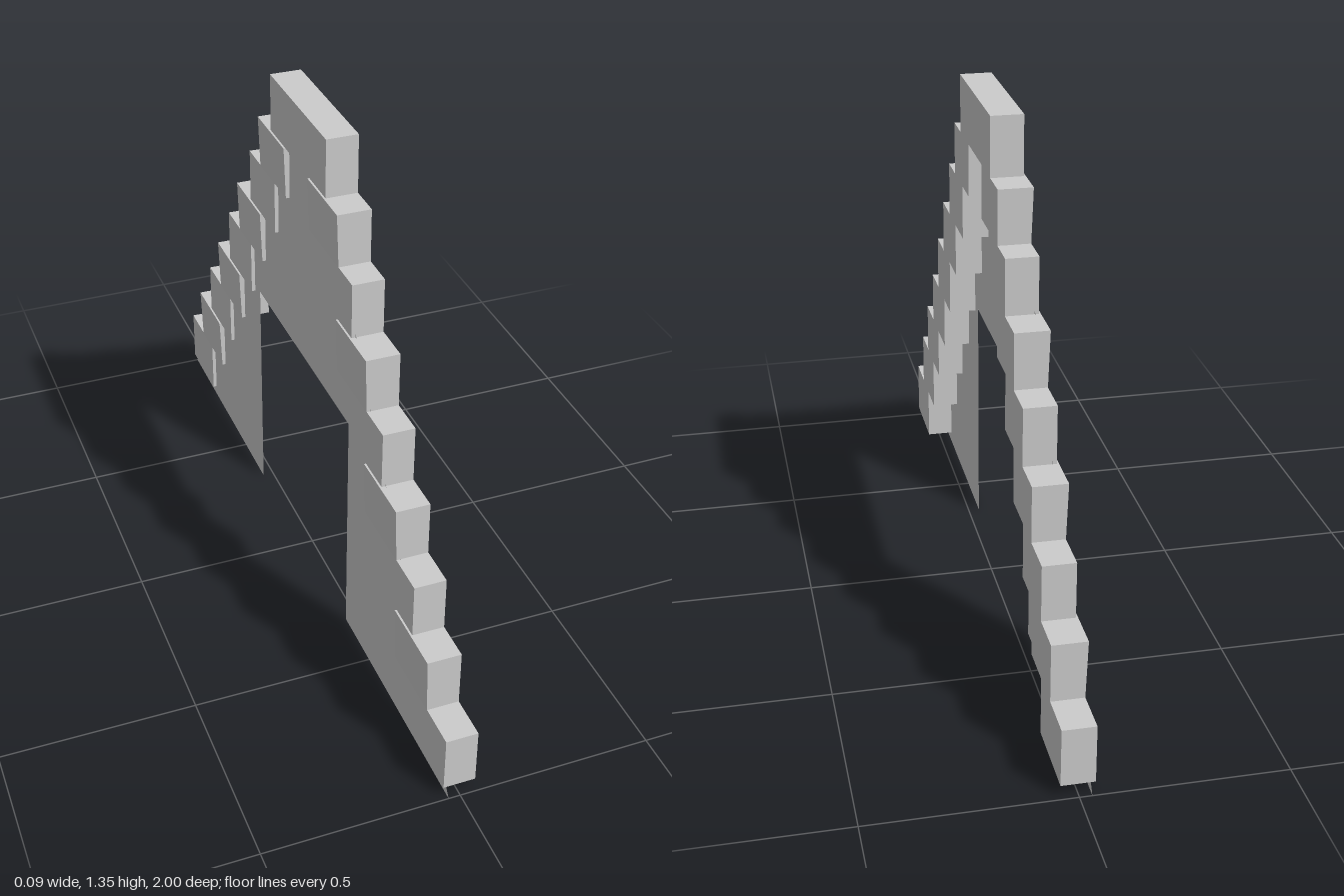
import * as THREE from 'three';

const stone = new THREE.MeshStandardMaterial({ color: 0xcccccc, flatShading: true });
const sheet = new THREE.MeshStandardMaterial({ color: 0xcccccc, flatShading: true, side: THREE.DoubleSide });

// Rows from the ground up: [bottom, top, inner z, outer z]
const rows = [
  [0.03, 0.18, 0.79, 0.99],
  [0.18, 0.33, 0.685, 0.88],
  [0.33, 0.475, 0.585, 0.78],
  [0.475, 0.62, 0.475, 0.673],
  [0.62, 0.77, 0.377, 0.573],
  [0.77, 0.915, 0.28, 0.473],
  [0.915, 1.06, 0.172, 0.37],
  [1.06, 1.2, 0.085, 0.282],
];

// Roughly cut block: its -x face leans slightly at the top
function block(name, y0, y1, z0, z1, lean) {
  const geo = new THREE.BoxGeometry(0.082, y1 - y0, z1 - z0);
  const pos = geo.attributes.position;
  for (let i = 0; i < pos.count; i++) {
    if (pos.getX(i) < 0 && pos.getY(i) > 0) pos.setX(i, pos.getX(i) - lean);
  }
  geo.computeVertexNormals();
  const mesh = new THREE.Mesh(geo, stone);
  mesh.name = name;
  mesh.position.set(0.001, (y0 + y1) / 2, (z0 + z1) / 2);
  return mesh;
}

export function createModel() {
  const group = new THREE.Group();
  group.name = 'steppedGable';

  // Thin wall with a doorway, tapering up behind the steps
  const shape = new THREE.Shape([
    [-1, 0], [-0.335, 0], [-0.335, 0.64], [0.335, 0.64], [0.335, 0],
    [1, 0], [0.185, 1.2], [0.1, 1.32], [-0.1, 1.32], [-0.185, 1.2],
  ].map(([z, y]) => new THREE.Vector2(z, y)));
  const wall = new THREE.Mesh(new THREE.ShapeGeometry(shape).rotateY(-Math.PI / 2), sheet);
  wall.name = 'gableWall';
  wall.position.x = -0.03;
  group.add(wall);

  // Mirrored flights of edge blocks
  rows.forEach(([y0, y1, inner, outer], i) => {
    const lean = i % 2 ? 0.005 : 0;
    group.add(block(`frontStep${i + 1}`, y0, y1, inner, outer, lean));
    group.add(block(`backStep${i + 1}`, y0, y1, -outer, -inner, lean));
  });

  // Long block across the peak
  group.add(block('capBlock', 1.2, 1.353, -0.195, 0.195, 0));
  return group;
}
